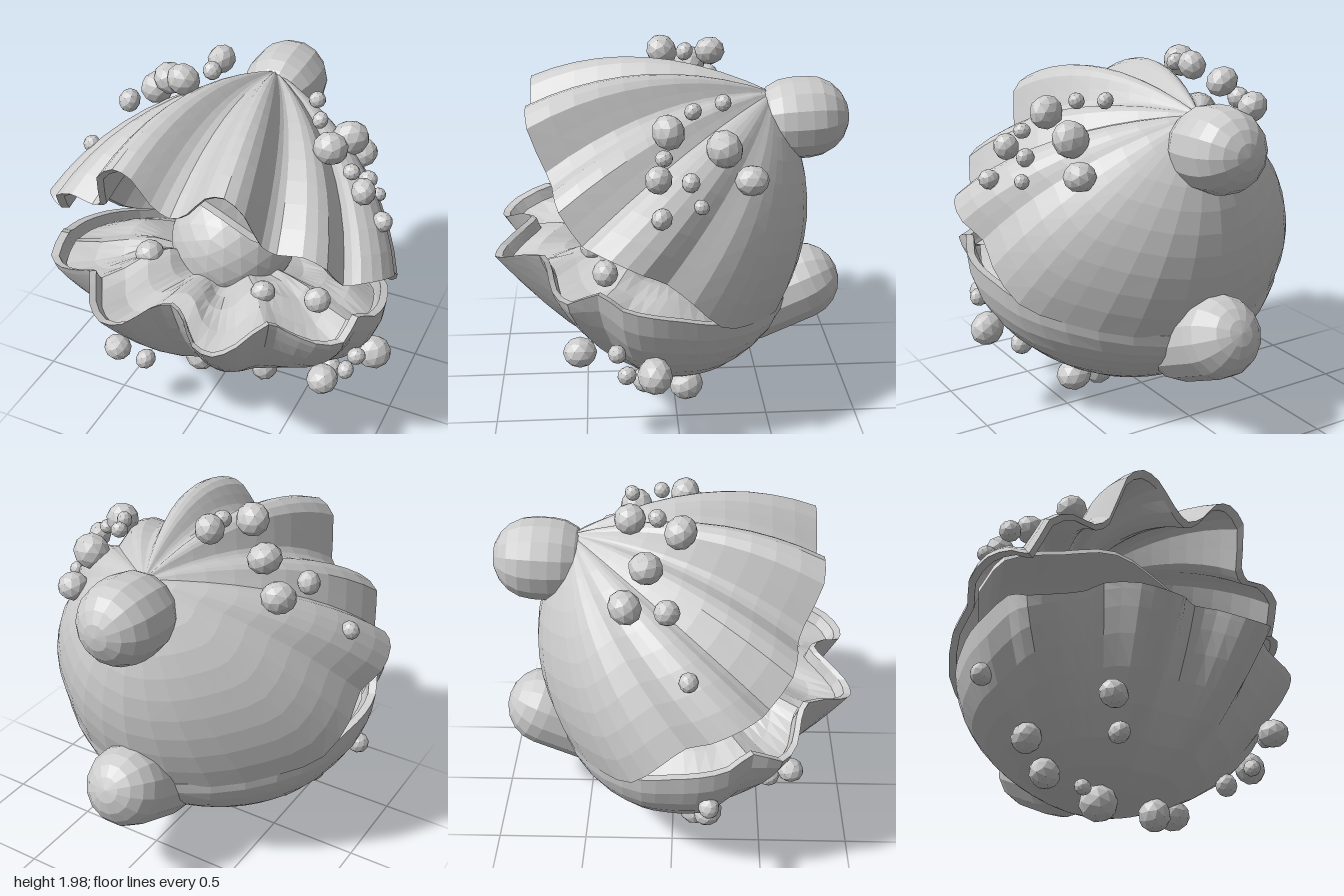
import * as THREE from 'three';

const V = (x, y, z) => new THREE.Vector3(x, y, z);
const mat = new THREE.MeshStandardMaterial({ color: 0xcccccc, flatShading: true, side: THREE.DoubleSide });

function addMesh(parent, name, geometry, pos = [0, 0, 0]) {
  const mesh = new THREE.Mesh(geometry, mat);
  mesh.name = name;
  mesh.position.set(...pos);
  parent.add(mesh);
  return mesh;
}

// Skins a list of point rows; closed rows wrap around
function skin(rows, closed, flip) {
  const n = rows[0].length, index = [], pos = [];
  rows.forEach(r => r.forEach(p => pos.push(p.x, p.y, p.z)));
  for (let j = 0; j < rows.length - 1; j++) {
    for (let i = 0; i < (closed ? n : n - 1); i++) {
      const k = (i + 1) % n;
      const a = j * n + i, b = a + n, c = j * n + k, d = c + n;
      if (flip) index.push(a, c, b, c, d, b);
      else index.push(a, b, c, c, b, d);
    }
  }
  const g = new THREE.BufferGeometry();
  g.setAttribute('position', new THREE.Float32BufferAttribute(pos, 3));
  g.setIndex(index);
  g.computeVertexNormals();
  return g;
}

// Scalloped rim: half outline from front to hinge, mirrored to a closed loop
function rimLoop(half) {
  const right = half.map(p => V(...p));
  const left = right.slice(1, -1).reverse().map(p => V(-p.x, p.y, p.z));
  const pts = [...right, ...left];
  const curve = new THREE.CatmullRomCurve3(pts, true);
  const n = pts.length * 2;
  return Array.from({ length: n }, (_, i) => curve.getPoint(i / n));
}

// Thick valve: pointAt(i, t) runs from the apex (t = 0) to rim point i (t = 1);
// the inside returns, drawn in towards the core
function valve(count, core, pointAt, flip) {
  const steps = 10, outer = [];
  for (let j = 0; j <= steps; j++) {
    outer.push(Array.from({ length: count }, (_, i) => pointAt(i, j / steps)));
  }
  const inner = outer.map(row => row.map(p => p.clone().lerp(core, 0.045))).reverse();
  return skin([...outer, ...inner], true, flip);
}

// Upper valve: ribs arc from the umbo and bulge away from the core
function upperValve(rim, umbo, core) {
  const arcs = rim.map(r => {
    const mid = umbo.clone().lerp(r, 0.5);
    const out = mid.clone().sub(core).normalize();
    const bulge = (0.22 + 0.1 * Math.max(0, -r.z)) * umbo.distanceTo(r);
    return new THREE.QuadraticBezierCurve3(umbo, mid.addScaledVector(out, bulge), r);
  });
  return valve(rim.length, core, (i, t) => arcs[i].getPoint(t), false);
}

// Lower valve: bowl, round at the sides and sloping at the front; ribs fade downwards
function lowerValve(rim, apex, core) {
  const n = rim.length, span = 5;
  const smooth = rim.map((_, i) => {
    const sum = V(0, 0, 0);
    for (let k = -span; k <= span; k++) sum.add(rim[(i + k + n) % n]);
    return sum.divideScalar(2 * span + 1);
  });
  return valve(n, core, (i, t) => {
    const h = Math.sin(t * Math.PI / 2);
    const edge = smooth[i].clone().lerp(rim[i], h * h);
    const front = THREE.MathUtils.smoothstep(rim[i].z, 0.2, 0.8);
    const rise = THREE.MathUtils.lerp(1 - Math.cos(t * Math.PI / 2), h ** 2.5, front);
    const p = apex.clone().lerp(edge, h);
    p.y = THREE.MathUtils.lerp(apex.y, edge.y, rise);
    return p;
  }, true);
}

const upperHalf = [
  [0, 1.54, 0.76], [0.1, 1.6, 0.77], [0.2, 1.72, 0.77], [0.3, 1.75, 0.77], [0.4, 1.67, 0.76],
  [0.45, 1.45, 0.67], [0.52, 1.4, 0.64], [0.65, 1.42, 0.63], [0.77, 1.36, 0.6], [0.82, 1.2, 0.49],
  [0.9, 1.21, 0.45], [0.98, 1.19, 0.35], [1.0, 1.12, 0.2], [0.94, 1.04, 0.08], [0.95, 0.93, -0.05],
  [0.88, 0.76, -0.2], [0.7, 0.67, -0.36], [0.4, 0.59, -0.55], [0, 0.55, -0.64],
];
const lowerHalf = [
  [0, 1.02, 0.79], [0.1, 1.0, 0.85], [0.2, 0.94, 0.95], [0.32, 0.93, 0.97], [0.42, 0.97, 0.9],
  [0.52, 1.02, 0.72], [0.6, 0.97, 0.68], [0.75, 0.92, 0.65], [0.87, 0.91, 0.57], [0.89, 0.97, 0.42],
  [0.94, 0.9, 0.3], [0.95, 0.86, 0.15], [0.92, 0.82, 0], [0.87, 0.77, -0.15], [0.7, 0.7, -0.36],
  [0.4, 0.61, -0.55], [0, 0.56, -0.66],
];

// Barnacles: x, y, z, radius
const upperBarnacles = [
  [0.6, 1.44, -0.37, 0.085], [0.57, 1.6, -0.23, 0.1], [0.37, 1.78, -0.24, 0.045],
  [0.45, 1.76, -0.08, 0.045], [0.56, 1.69, 0.05, 0.09], [0.69, 1.6, 0.08, 0.045],
  [0.77, 1.52, 0.11, 0.07], [0.88, 1.36, 0.1, 0.055], [0.74, 1.49, -0.05, 0.05],
  [0.79, 1.38, -0.1, 0.04], [-0.59, 1.64, -0.23, 0.09], [-0.45, 1.78, -0.13, 0.09],
  [-0.18, 1.91, -0.22, 0.08], [-0.17, 1.91, -0.08, 0.05], [-0.28, 1.89, 0.04, 0.09],
  [-0.65, 1.65, -0.02, 0.065], [-0.85, 1.38, 0.09, 0.05],
];
const lowerBarnacles = [
  [0.75, 0.57, 0.52, 0.085], [0.87, 0.62, 0.33, 0.05], [0.91, 0.51, 0.14, 0.095],
  [0.8, 0.45, 0.28, 0.05], [0.68, 0.35, 0.19, 0.065], [0.48, 0.2, -0.05, 0.095],
  [0.24, 0.12, 0.1, 0.09], [-0.16, 0.1, 0.15, 0.1], [-0.9, 0.62, 0.2, 0.06],
  [-0.63, 0.34, 0.2, 0.08], [-0.47, 0.21, 0.12, 0.085], [-0.42, 0.47, 0.66, 0.075],
  [-0.31, 0.33, 0.55, 0.06], [-0.29, 0.15, 0.2, 0.045],
];
const smallPearls = [[-0.33, 0.98, 0.4, 0.08], [0.37, 0.98, 0.45, 0.065], [0.65, 0.97, 0.38, 0.07]];

function scatter(parent, name, list) {
  list.forEach(([x, y, z, r], i) => {
    const m = addMesh(parent, name, new THREE.IcosahedronGeometry(r, 1), [x, y, z]);
    m.rotation.set(i * 1.3, i * 2.1, i * 0.7);
    m.scale.set(1, 0.92, 1.04);
  });
}

// Rounded knob running from the tip into the shell
function knob(parent, name, tip, root, radius) {
  const a = V(...tip), b = V(...root), dir = b.clone().sub(a);
  const m = addMesh(parent, name, new THREE.CapsuleGeometry(radius, dir.length(), 5, 14),
    a.clone().lerp(b, 0.5).toArray());
  m.quaternion.setFromUnitVectors(V(0, 1, 0), dir.normalize());
}

export function createModel() {
  const model = new THREE.Group();
  model.name = 'clam';

  // Upper and lower valves with their hinge knobs
  const upperRim = rimLoop(upperHalf), lowerRim = rimLoop(lowerHalf);
  const lowerCore = V(0, 0.8, 0.1);
  addMesh(model, 'upperShell', upperValve(upperRim, V(0, 1.72, -0.55), V(0, 1.1, 0)));
  addMesh(model, 'lowerShell', lowerValve(lowerRim, V(0, 0.14, -0.15), lowerCore));
  knob(model, 'upperKnob', [0, 1.575, -0.75], [0, 1.57, -0.66], 0.225);
  knob(model, 'lowerKnob', [0, 0.575, -0.75], [0, 0.44, -0.45], 0.225);

  // Uneven flesh bed inside the lower valve
  const bed = [];
  for (let j = 0; j <= 6; j++) {
    const t = j / 6;
    bed.push(lowerRim.map(r => {
      const edge = r.clone().lerp(lowerCore, 0.08).add(V(0, -0.05, 0));
      const p = V(0, 0.83, 0).lerp(edge, t);
      p.y += 0.06 * Math.sin(t * Math.PI) + 0.06 * Math.sin(9 * p.x + 1) * Math.cos(8 * p.z) * (1 - t ** 4);
      return p;
    }));
  }
  addMesh(model, 'lowerMantle', skin(bed, true, false));

  // Wavy flesh fold hanging under the upper valve
  const lip = new THREE.CatmullRomCurve3([
    V(-0.9, 1.15, 0.12), V(-0.8, 1.34, 0.2), V(-0.5, 1.43, 0.3), V(-0.2, 1.49, 0.38), V(0.1, 1.38, 0.4),
    V(0.35, 1.27, 0.38), V(0.5, 1.38, 0.3), V(0.78, 1.33, 0.2), V(0.9, 1.15, 0.1),
  ]).getPoints(24);
  const fold = [0, 0.02, 0.3, 0.65, 1].map((t, j) => lip.map(p =>
    p.clone().lerp(V(p.x * 0.65, 0.9, -0.45), t).add(V(0, j === 0 ? -0.04 : 0.06 * Math.sin(t * Math.PI), 0))));
  addMesh(model, 'upperMantle', skin(fold, false, false));

  // Pearl and small encrusted lumps
  addMesh(model, 'pearl', new THREE.IcosahedronGeometry(0.35, 3), [0.01, 0.95, 0.04]);
  scatter(model, 'smallPearl', smallPearls);
  scatter(model, 'upperBarnacle', upperBarnacles);
  scatter(model, 'lowerBarnacle', lowerBarnacles);
  return model;
}
